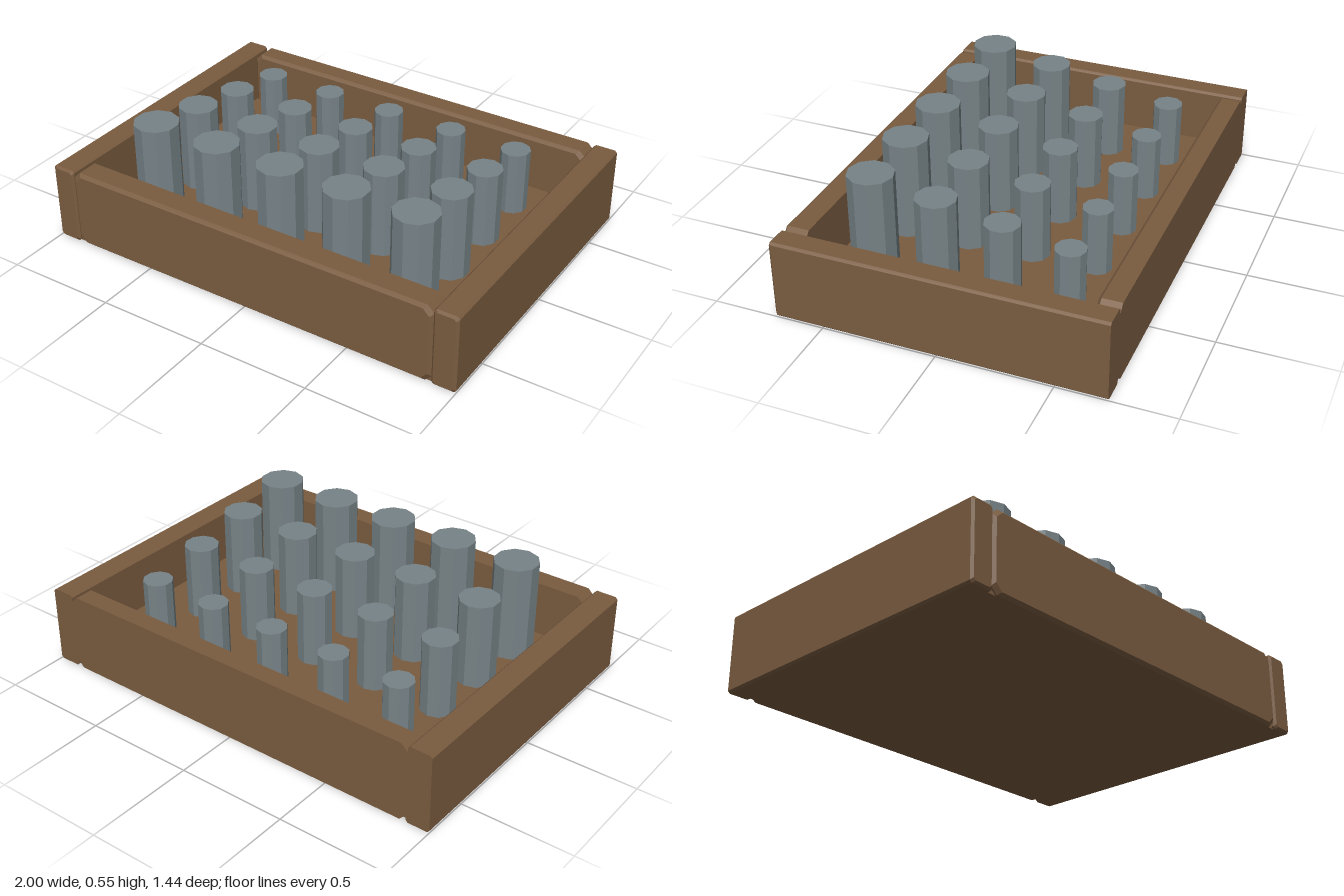
import * as THREE from 'three';
import { ConvexGeometry } from 'three/addons/geometries/ConvexGeometry.js';

const wood = new THREE.MeshStandardMaterial({ name: 'brown wood', color: 0x7a5c40 });
const steel = new THREE.MeshStandardMaterial({ name: 'grey steel', color: 0x778387 });

const HEIGHT = 0.36, HALF_DEPTH = 0.72, WALL = 0.11, FLOOR = 0.108;

// Eight-cornered outline in the xy plane, at depth z, shrunk by inset
function outline(x0, x1, z, cut, inset) {
  const a = x0 + inset, b = x1 - inset, c = inset, d = HEIGHT - inset;
  return [
    [a + cut, c], [b - cut, c], [b, c + cut], [b, d - cut],
    [b - cut, d], [a + cut, d], [a, d - cut], [a, c + cut],
  ].map(([x, y]) => new THREE.Vector3(x, y, z));
}

// Board with cut long edges, a bevelled front end and a flat back end
function board(name, x0, x1, zBack, zFront, cut, bevel) {
  const geometry = new ConvexGeometry([
    ...outline(x0, x1, zBack, cut, 0),
    ...outline(x0, x1, zFront - bevel, cut, 0),
    ...outline(x0, x1, zFront, cut, bevel),
  ]);
  const mesh = new THREE.Mesh(geometry, wood);
  mesh.name = name;
  return mesh;
}

export function createModel() {
  const model = new THREE.Group();
  model.name = 'pegTray';

  // Tray walls
  const inner = 1 - WALL;
  model.add(
    board('leftWall', inner, 1, -HALF_DEPTH, HALF_DEPTH, 0.01, 0.01),
    board('rightWall', -1, -inner, -HALF_DEPTH, HALF_DEPTH, 0.01, 0.01),
    board('frontWall', -inner, inner, HALF_DEPTH - WALL, HALF_DEPTH, 0.03, 0.014),
    board('backWall', -inner, inner, -HALF_DEPTH, 0.1 - HALF_DEPTH, 0.03, 0.014),
  );

  // Tray floor, running under the notched corners of the end walls
  const floor = new THREE.Mesh(new THREE.BoxGeometry(1.81, FLOOR, 1.4), wood);
  floor.name = 'floor';
  floor.position.y = FLOOR / 2;
  model.add(floor);

  // Ten-sided pegs, shorter and thinner towards the back
  const pegs = new THREE.Group();
  pegs.name = 'pegs';
  for (let row = 0; row < 4; row++) {
    const top = 0.55 - row * 0.05;
    const radius = 0.101 - row * 0.0114;
    const length = top - FLOOR + 0.01;
    const geometry = new THREE.CylinderGeometry(radius, radius, length, 10).toNonIndexed();
    geometry.computeVertexNormals();
    for (let column = -2; column <= 2; column++) {
      const peg = new THREE.Mesh(geometry, steel);
      peg.name = 'peg';
      peg.position.set(column * 0.3225, top - length / 2, 0.432 - row * 0.288);
      pegs.add(peg);
    }
  }
  model.add(pegs);

  return model;
}
